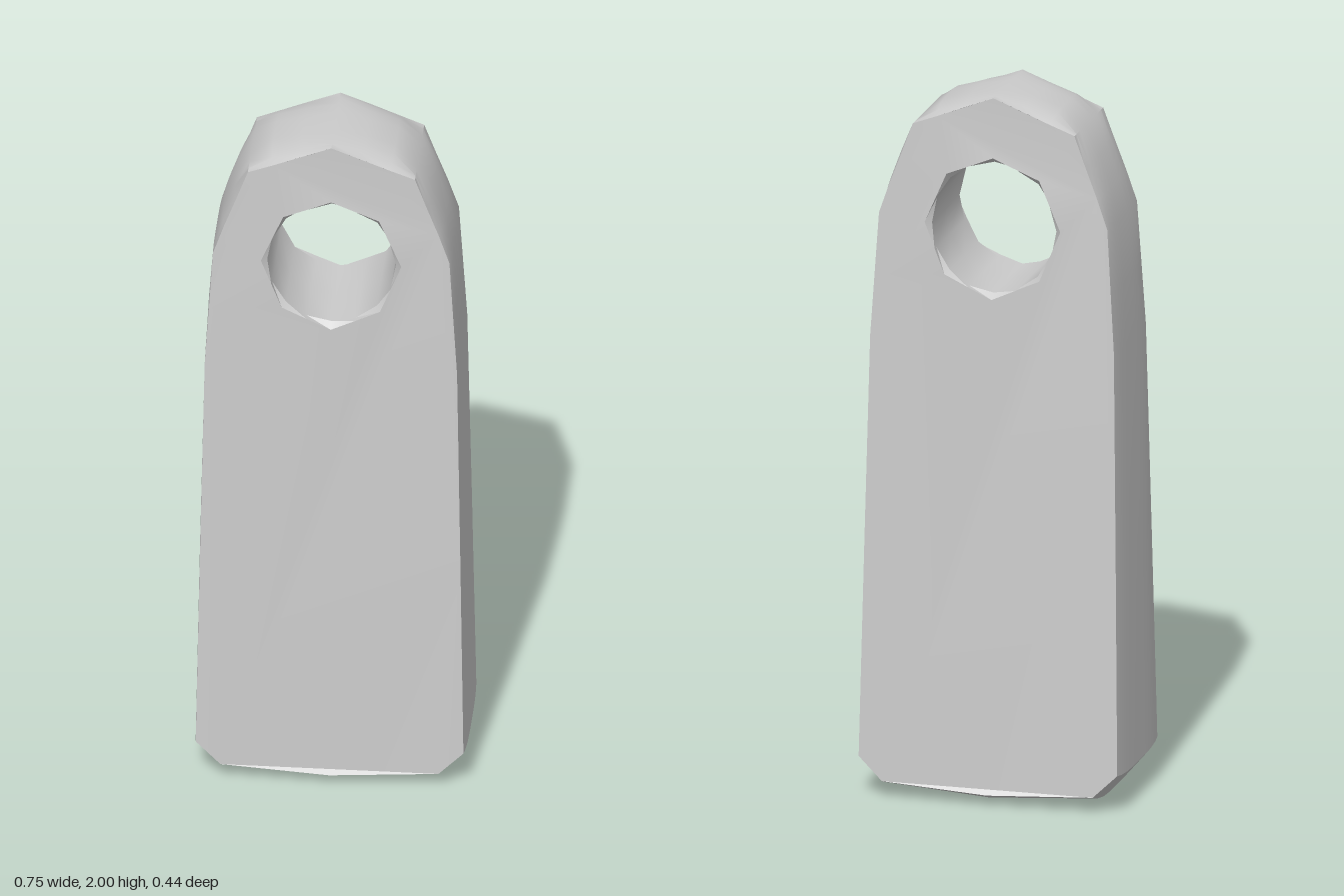
import * as THREE from 'three';
import { mergeGeometries, toCreasedNormals } from 'three/addons/utils/BufferGeometryUtils.js';

// Half outline from the top peak down to the bottom centre:
// x, y at the front and back edges, then the bulge dx, dy at mid depth
const HALF_OUTLINE = [
  [0, 2, 0, 0], [0.08, 1.969, 0.008, 0.014], [0.16, 1.937, 0.008, 0.024], [0.23, 1.91, 0, 0],
  [0.262, 1.823, 0.012, 0.006], [0.295, 1.737, 0.01, 0.004], [0.325, 1.65, 0.003, 0],
  [0.336, 1.475, 0.006, 0], [0.347, 1.3, 0.003, 0], [0.358, 0.7, 0.006, 0],
  [0.368, 0.11, 0.006, -0.01], [0.3, 0.045, 0.008, -0.022], [0, 0.03, 0, -0.03],
];

// Half of the eight-sided hole rim, top to bottom
const HALF_RIM = [[0, 1.83], [0.132, 1.776], [0.193, 1.635], [0.135, 1.492], [0, 1.43]];

const mirror = (half) => [
  ...half,
  ...half.slice(1, -1).reverse().map(([x, y, dx = 0, dy = 0]) => [-x, y, -dx, dy]),
];

// Half thickness: thins towards the top and, slightly, towards the sides
const halfDepth = (x, y) => 0.219 - 0.036 * y - 0.012 * (x / 0.36) ** 2;

// Skins a list of closed rings with the same number of points
function loft(rings) {
  const n = rings[0].length;
  const index = [];
  for (let k = 0; k < rings.length - 1; k++) {
    for (let i = 0; i < n; i++) {
      const a = k * n + i, b = k * n + (i + 1) % n;
      index.push(a, b, a + n, b, b + n, a + n);
    }
  }
  const geometry = new THREE.BufferGeometry();
  geometry.setAttribute('position', new THREE.Float32BufferAttribute(rings.flat(2), 3));
  geometry.setIndex(index);
  return geometry.toNonIndexed();
}

// Front face with the hole cut out, bowed to the tapered thickness
function faceGeometry(outline, rim) {
  const toPoints = (list) => list.map(([x, y]) => new THREE.Vector2(x, y));
  const shape = new THREE.Shape(toPoints(outline));
  shape.holes.push(new THREE.Path(toPoints(rim)));
  const geometry = new THREE.ShapeGeometry(shape).toNonIndexed();
  const p = geometry.attributes.position;
  for (let i = 0; i < p.count; i++) p.setZ(i, halfDepth(p.getX(i), p.getY(i)));
  geometry.deleteAttribute('uv');
  geometry.deleteAttribute('normal');
  return geometry;
}

export function createModel() {
  const group = new THREE.Group();
  const material = new THREE.MeshStandardMaterial({ color: 0xcccccc });
  const add = (name, geometry, crease) => {
    const mesh = new THREE.Mesh(toCreasedNormals(geometry, crease), material);
    mesh.name = name;
    group.add(mesh);
  };

  const outline = mirror(HALF_OUTLINE);
  const rim = mirror(HALF_RIM);

  // Edge wall, swelling out between the front and back faces
  const wallRings = [1, 0.85, 0.6, 0.3, 0, -0.3, -0.6, -0.85, -1].map((t) =>
    outline.map(([x, y, dx, dy]) => {
      const bulge = 1 - t ** 4;
      return [x + dx * bulge, y + dy * bulge, t * halfDepth(x, y)];
    }));
  add('edgeWall', loft(wallRings), 0.6);

  // Front and back faces
  const front = faceGeometry(outline, rim);
  add('faces', mergeGeometries([front, front.clone().rotateY(Math.PI)]), 0.4);

  // Round bore that flares to the eight-sided rim at both ends
  const rimRing = rim.flatMap(([x, y], i) => {
    const [x2, y2] = rim[(i + 1) % rim.length];
    return [[x, y], [(x + x2) / 2, (y + y2) / 2]];
  });
  const boreRing = rimRing.map((_, i) => {
    const a = (i / rimRing.length) * Math.PI * 2;
    return [0.177 * Math.sin(a), 1.631 + 0.185 * Math.cos(a)];
  });
  const boreRings = [-1, -0.88, 0, 0.88, 1].map((t) =>
    (Math.abs(t) === 1 ? rimRing : boreRing).map(([x, y]) => [x, y, t * halfDepth(x, y)]));
  add('bore', loft(boreRings), 0.5);

  return group;
}
